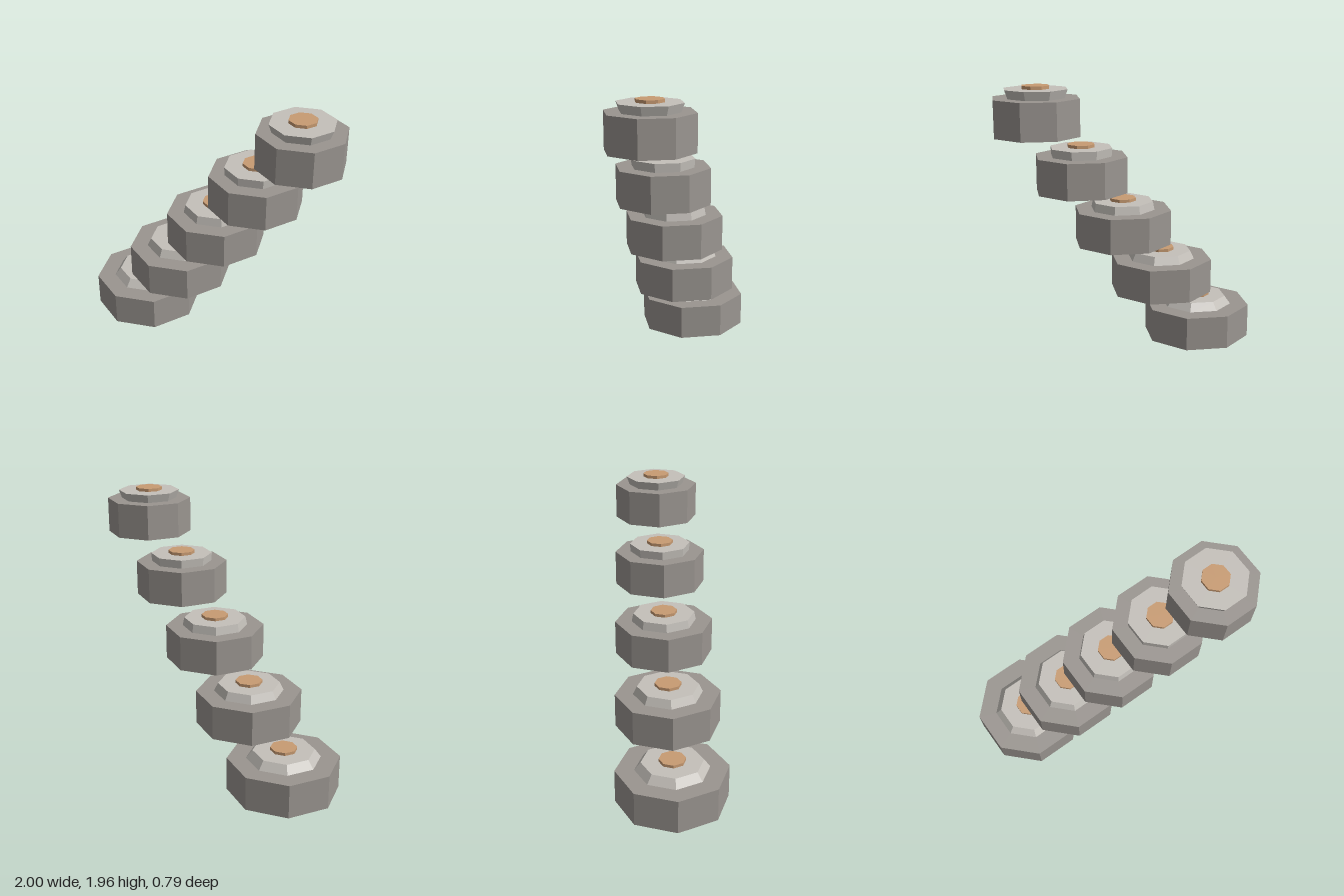
import * as THREE from 'three';

export function createModel() {
  const model = new THREE.Group();
  model.name = 'steppingStones';

  const material = (name, color) => {
    const m = new THREE.MeshStandardMaterial({ color, flatShading: true });
    m.name = name;
    return m;
  };
  const stone = material('stone grey', 0x9a9590);
  const pale = material('pale stone', 0xc4c0ba);
  const copper = material('copper', 0xc89b72);

  // Eight-sided layer standing on height y
  const layer = (name, mat, rTop, rBottom, y, height) => {
    const mesh = new THREE.Mesh(new THREE.CylinderGeometry(rTop, rBottom, height, 8), mat);
    mesh.name = name;
    mesh.position.y = y + height / 2;
    return mesh;
  };

  // Five floating stones, shrinking as they climb towards +x
  for (let i = 0; i < 5; i++) {
    const r = 0.396 - 0.0247 * i;
    const step = new THREE.Group();
    step.name = `step${i + 1}`;
    step.position.set(-0.604 + 0.3267 * i, 0.409 * i, 0);
    step.add(
      layer('stoneBase', stone, r, r, 0, 0.245),
      layer('upperSlab', pale, 0.217, r * 0.66, 0.245, 0.058),
      layer('copperCap', copper, 0.094, 0.094, 0.303, 0.021)
    );
    model.add(step);
  }
  return model;
}
